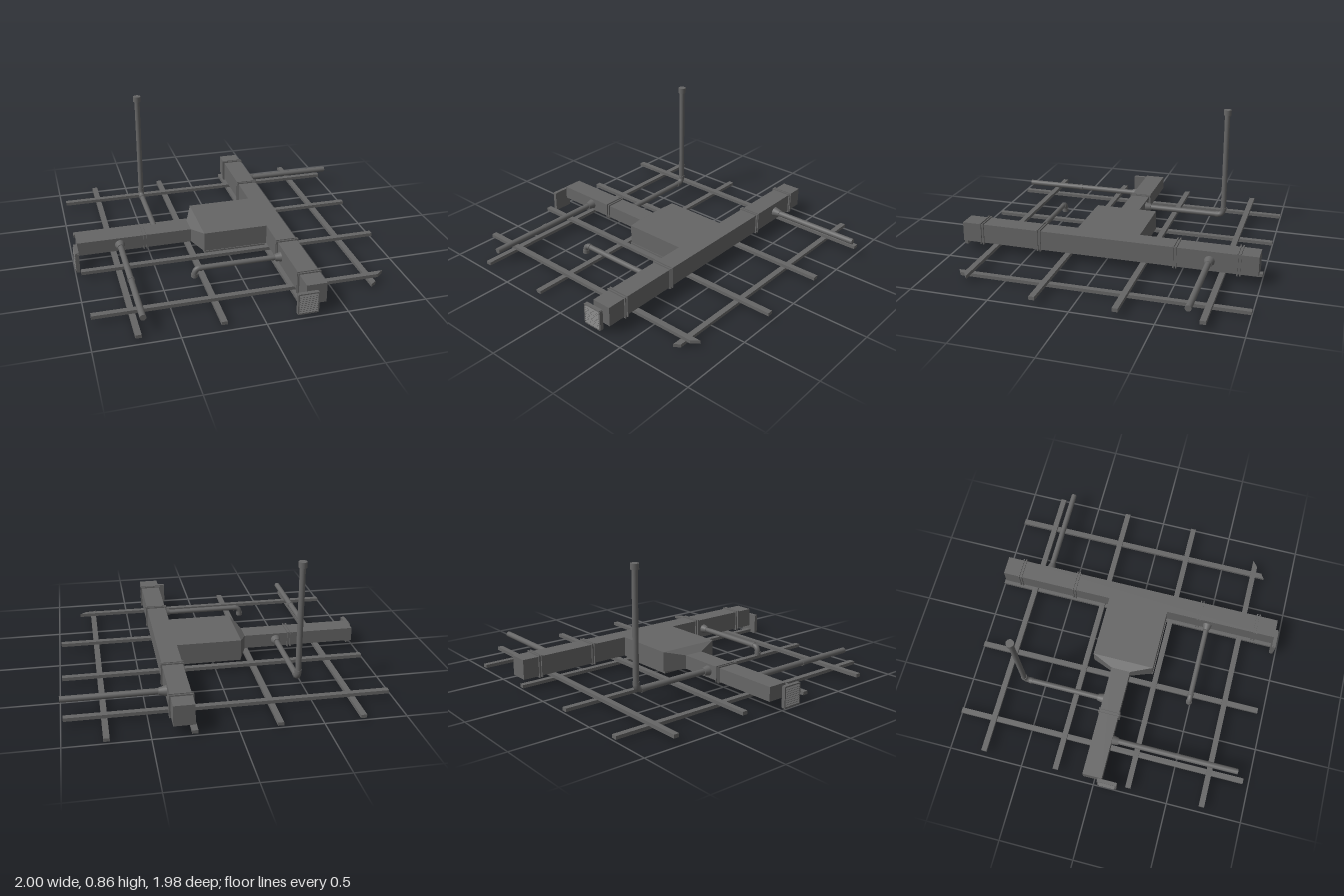
import * as THREE from 'three';

export function createModel() {
  const root = new THREE.Group();
  root.name = 'ceilingDuctwork';
  const steel = new THREE.MeshStandardMaterial({ color: 0x666666 });
  steel.name = 'dark grey steel';

  const add = (name, geometry, parent = root) => {
    const mesh = new THREE.Mesh(geometry, steel);
    mesh.name = name;
    parent.add(mesh);
    return mesh;
  };
  // Box given by its limits on each axis
  const box = (name, x0, x1, y0, y1, z0, z1, parent) => {
    const g = new THREE.BoxGeometry(x1 - x0, y1 - y0, z1 - z0);
    g.translate((x0 + x1) / 2, (y0 + y1) / 2, (z0 + z1) / 2);
    return add(name, g, parent);
  };
  // Move the corners of a box by a rule
  const bend = (mesh, rule) => {
    const p = mesh.geometry.attributes.position;
    const v = new THREE.Vector3();
    for (let i = 0; i < p.count; i++) {
      rule(v.fromBufferAttribute(p, i));
      p.setXYZ(i, v.x, v.y, v.z);
    }
    mesh.geometry.computeVertexNormals();
  };
  // Round bar or cone between two points
  const rod = (name, a, b, ra, rb = ra, parent = root) => {
    const from = new THREE.Vector3(...a), to = new THREE.Vector3(...b);
    const dir = to.clone().sub(from);
    const mesh = add(name, new THREE.CylinderGeometry(rb, ra, dir.length(), 20), parent);
    mesh.position.copy(from).add(to).multiplyScalar(0.5);
    mesh.quaternion.setFromUnitVectors(new THREE.Vector3(0, 1, 0), dir.normalize());
  };
  // Quarter bend between two points around a corner
  const elbow = (a, corner, b, r, parent) => {
    const curve = new THREE.QuadraticBezierCurve3(...[a, corner, b].map(p => new THREE.Vector3(...p)));
    add('elbow', new THREE.TubeGeometry(curve, 10, r, 20), parent);
  };
  const group = (name) => {
    const g = new THREE.Group();
    g.name = name;
    root.add(g);
    return g;
  };

  // Ceiling grid: lower bars run front to back, upper bars side to side
  const grid = group('ceilingGrid');
  [-0.735, -0.24, 0.255, 0.75].forEach((x, i) => {
    const cut = i === 3;
    const bar = box('lengthBar', x - 0.018, x + 0.018, 0.013, 0.034, -1, cut ? 0.81 : 0.96, grid);
    if (cut) bend(bar, v => { if (v.z > 0 && v.x > x) v.z -= 0.025; });
  });
  [-0.765, -0.268, 0.23, 0.727].forEach((z, i) => {
    const cut = i === 3;
    const bar = box('crossBar', -0.97, cut ? 0.845 : 0.985, 0.034, 0.056, z - 0.018, z + 0.018, grid);
    if (cut) bend(bar, v => { if (v.x > 0 && v.z > z) v.x -= 0.045; });
  });

  // Main duct, plenum and branch duct
  box('mainDuct', 0.25, 0.377, 0.062, 0.19, -0.985, 0.955);
  box('plenum', -0.17, 0.25, 0.06, 0.19, -0.215, 0.2);
  box('branchDuct', -0.97, -0.222, 0.064, 0.154, -0.075, 0.055);
  const taper = box('taper', -0.225, -0.17, 0.06, 0.19, -0.215, 0.2);
  bend(taper, v => {
    if (v.x > -0.2) return;
    v.y = v.y > 0.1 ? 0.154 : 0.064;
    v.z = v.z > 0 ? 0.055 : -0.075;
  });

  // Paired joint flanges
  for (const z of [-0.865, -0.47, 0.423, 0.82])
    for (const d of [-0.009, 0.009])
      box('mainFlange', 0.241, 0.386, 0.053, 0.199, z + d - 0.004, z + d + 0.004);
  for (const d of [-0.01, 0.01])
    box('branchFlange', -0.53 + d - 0.004, -0.53 + d + 0.004, 0.056, 0.162, -0.084, 0.064);

  // Louvred grille facing +z, centred on its back plate
  const grille = (name) => {
    const g = group(name);
    const w = 0.0615, h = 0.065;
    box('backPlate', -w, w, -h, h, 0, 0.014, g);
    for (const s of [-1, 1]) {
      box('sideFrame', s * w - 0.004, s * w + 0.004, -h, h, 0, 0.024, g);
      box('edgeFrame', -w, w, s * h - 0.004, s * h + 0.004, 0, 0.024, g);
    }
    for (let i = 0; i < 9; i++) {
      const slat = box('slat', -0.056, 0.056, -0.002, 0.002, -0.009, 0.009, g);
      slat.position.set(0, -0.053 + i * 0.01325, 0.02);
      slat.rotation.x = 0.6;
    }
    return g;
  };
  grille('frontGrille').position.set(0.258, 0.082, 0.955);
  const sideGrille = grille('sideGrille');
  sideGrille.position.set(-0.97, 0.069, 0.092);
  sideGrille.rotation.y = -Math.PI / 2;

  // Stepped diffuser under the plenum
  const diffuser = group('ceilingDiffuser');
  const cx = 0.035, cz = 0.0;
  const square = (name, half, y0, y1) =>
    box(name, cx - half, cx + half, y0, y1, cz - half, cz + half, diffuser);
  square('diffuserPlate', 0.205, 0.045, 0.062);
  square('diffuserCore', 0.125, 0.034, 0.045);
  for (const s of [-1, 1]) {
    const e = s * 0.135;
    box('diffuserFrame', cx + e - 0.008, cx + e + 0.008, 0.022, 0.045, cz - 0.143, cz + 0.143, diffuser);
    box('diffuserFrame', cx - 0.143, cx + 0.143, 0.022, 0.045, cz + e - 0.008, cz + e + 0.008, diffuser);
  }
  for (let i = 0; i < 8; i++) {
    const slat = box('diffuserSlat', -0.125, 0.125, -0.002, 0.002, -0.011, 0.011, diffuser);
    slat.position.set(cx, 0.03, cz - 0.108 + i * 0.031);
    slat.rotation.x = 0.6;
  }

  // Vent pipe: back from the branch, then straight up
  const vent = group('ventPipe');
  const vx = -0.437, vy = 0.11, vz = -0.632;
  rod('collar', [vx, vy, -0.07], [vx, vy, -0.115], 0.034, 0.023, vent);
  rod('pipe', [vx, vy, -0.1], [vx, vy, vz + 0.045], 0.018, 0.018, vent);
  rod('coupling', [vx, vy, vz + 0.055], [vx, vy, vz + 0.035], 0.021, 0.021, vent);
  elbow([vx, vy, vz + 0.045], [vx, vy, vz], [vx, vy + 0.045, vz], 0.019, vent);
  rod('coupling', [vx, vy + 0.035, vz], [vx, vy + 0.055, vz], 0.021, 0.021, vent);
  rod('riser', [vx, vy + 0.045, vz], [vx, 0.84, vz], 0.018, 0.018, vent);
  rod('cap', [vx, 0.828, vz], [vx, 0.864, vz], 0.026, 0.026, vent);

  // Front pipe from the branch
  const front = group('frontPipe');
  rod('collar', [-0.697, 0.108, 0.05], [-0.697, 0.108, 0.098], 0.034, 0.023, front);
  rod('pipe', [-0.697, 0.108, 0.09], [-0.697, 0.108, 0.908], 0.019, 0.019, front);
  rod('coupling', [-0.697, 0.108, 0.49], [-0.697, 0.108, 0.51], 0.022, 0.022, front);

  // Side pipe from the main duct
  const side = group('sidePipe');
  rod('collar', [0.375, 0.127, -0.685], [0.425, 0.127, -0.685], 0.034, 0.022, side);
  rod('pipe', [0.41, 0.127, -0.685], [1, 0.127, -0.685], 0.019, 0.019, side);

  // Drop pipe from the main duct, turned down at its end
  const drop = group('dropPipe');
  const dy = 0.12, dz = 0.49, dx = -0.305;
  rod('collar', [0.252, dy, dz], [0.21, dy, dz], 0.032, 0.02, drop);
  rod('pipe', [0.22, dy, dz], [dx + 0.04, dy, dz], 0.017, 0.017, drop);
  rod('coupling', [dx + 0.045, dy, dz], [dx + 0.03, dy, dz], 0.02, 0.02, drop);
  elbow([dx + 0.04, dy, dz], [dx, dy, dz], [dx, dy - 0.04, dz], 0.018, drop);
  rod('outlet', [dx, dy - 0.035, dz], [dx, 0.062, dz], 0.021, 0.021, drop);

  return root;
}
